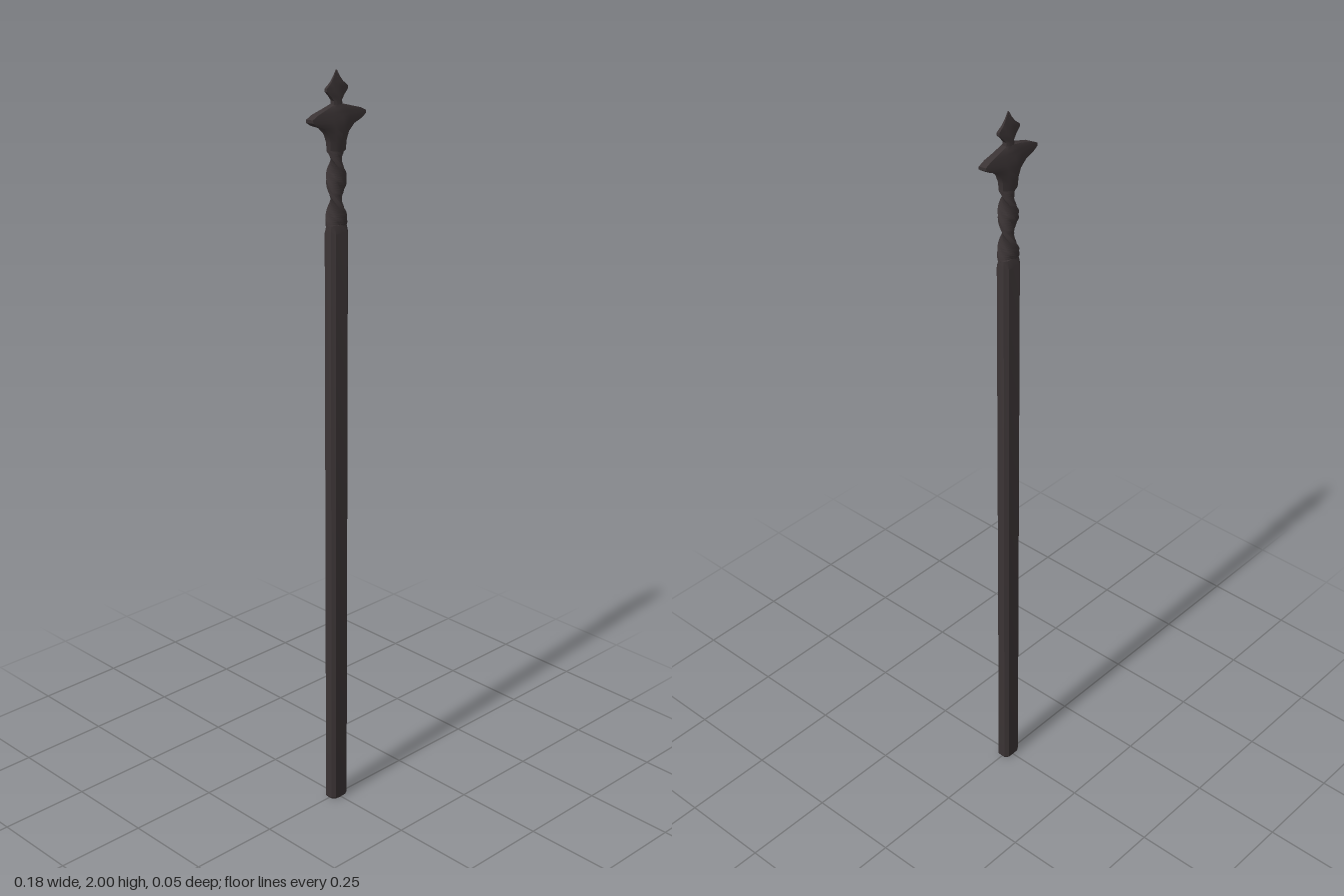
import * as THREE from 'three';
import { toCreasedNormals } from 'three/addons/utils/BufferGeometryUtils.js';

// Ten-sided section: side edge (w, e), shoulder (c, d), centre ridge (0, m), turned and sheared
function ring([y, w, e, c, d, m, turn = 0, shear = 0]) {
  const outline = [[w, -e], [w, e], [c, d], [0, m], [-c, d], [-w, e], [-w, -e], [-c, -d], [0, -m], [c, -d]];
  const cos = Math.cos(turn), sin = Math.sin(turn);
  return outline.map(([x, z]) => {
    const sx = x + shear * z;
    return new THREE.Vector3(sx * cos - z * sin, y, sx * sin + z * cos);
  });
}

// Skin a stack of sections, from bottom to top, and close both ends
function loft(name, sections, material, crease) {
  const rings = sections.map(ring), pos = [];
  const tri = (...pts) => pts.forEach(p => pos.push(p.x, p.y, p.z));
  const n = rings[0].length;
  for (let k = 0; k < rings.length - 1; k++) {
    const a = rings[k], b = rings[k + 1];
    for (let i = 0; i < n; i++) {
      const j = (i + 1) % n;
      tri(a[i], b[i], b[j]);
      tri(a[i], b[j], a[j]);
    }
  }
  const first = rings[0], last = rings[rings.length - 1];
  const low = new THREE.Vector3(0, first[0].y, 0), high = new THREE.Vector3(0, last[0].y, 0);
  for (let i = 0; i < n; i++) {
    const j = (i + 1) % n;
    tri(low, first[i], first[j]);
    tri(high, last[j], last[i]);
  }
  const geo = new THREE.BufferGeometry();
  geo.setAttribute('position', new THREE.Float32BufferAttribute(pos, 3));
  const mesh = new THREE.Mesh(toCreasedNormals(geo, crease), material);
  mesh.name = name;
  return mesh;
}

export function createModel() {
  const group = new THREE.Group();
  group.name = 'staff';
  const wood = new THREE.MeshStandardMaterial({ color: 0x3a3334 });
  wood.name = 'dark wood';

  // Long straight shaft with bevelled corners
  group.add(loft('shaft', [
    [0, 0.026, 0.009, 0.017, 0.017, 0.018],
    [0.005, 0.029, 0.011, 0.019, 0.019, 0.02],
    [1.605, 0.029, 0.011, 0.019, 0.019, 0.02],
    [1.625, 0.026, 0.008, 0.017, 0.013, 0.014],
  ], wood, 0.5));

  // Twisted grip: a flat section making one full turn
  const twist = [], steps = 32;
  for (let i = 0; i <= steps; i++) {
    const t = i / steps;
    const w = 0.027 - 0.003 * Math.sin(Math.PI * t);
    twist.push([1.615 + 0.195 * t, w, 0.006, 0.015, 0.012, 0.014, t * Math.PI * 2]);
  }
  group.add(loft('twistedNeck', twist, wood, 0.7));

  // Flared guard with blunt, slightly slanted wing tips
  group.add(loft('wingedHead', [
    [1.805, 0.026, 0.006, 0.015, 0.012, 0.014],
    [1.83, 0.027, 0.008, 0.014, 0.015, 0.019],
    [1.85, 0.034, 0.009, 0.016, 0.017, 0.023],
    [1.867, 0.05, 0.01, 0.019, 0.017, 0.023, 0, 0.1],
    [1.876, 0.074, 0.01, 0.024, 0.016, 0.022, 0, 0.2],
    [1.885, 0.087, 0.01, 0.028, 0.015, 0.02, 0, 0.25],
    [1.893, 0.088, 0.009, 0.028, 0.014, 0.018, 0, 0.25],
    [1.902, 0.07, 0.009, 0.024, 0.013, 0.016, 0, 0.2],
    [1.911, 0.04, 0.008, 0.016, 0.012, 0.015, 0, 0.1],
    [1.919, 0.014, 0.007, 0.007, 0.011, 0.013],
  ], wood, 0.7));

  // Small pointed finial
  group.add(loft('finial', [
    [1.915, 0.014, 0.007, 0.007, 0.011, 0.013],
    [1.928, 0.013, 0.006, 0.007, 0.01, 0.012],
    [1.938, 0.021, 0.005, 0.01, 0.008, 0.011],
    [1.952, 0.035, 0.004, 0.013, 0.007, 0.009],
    [1.959, 0.035, 0.004, 0.013, 0.007, 0.008],
    [1.971, 0.02, 0.003, 0.009, 0.005, 0.006],
    [1.984, 0.01, 0.002, 0.005, 0.004, 0.005],
    [2, 0.001, 0.001, 0.0005, 0.001, 0.002],
  ], wood, 0.7));

  return group;
}
